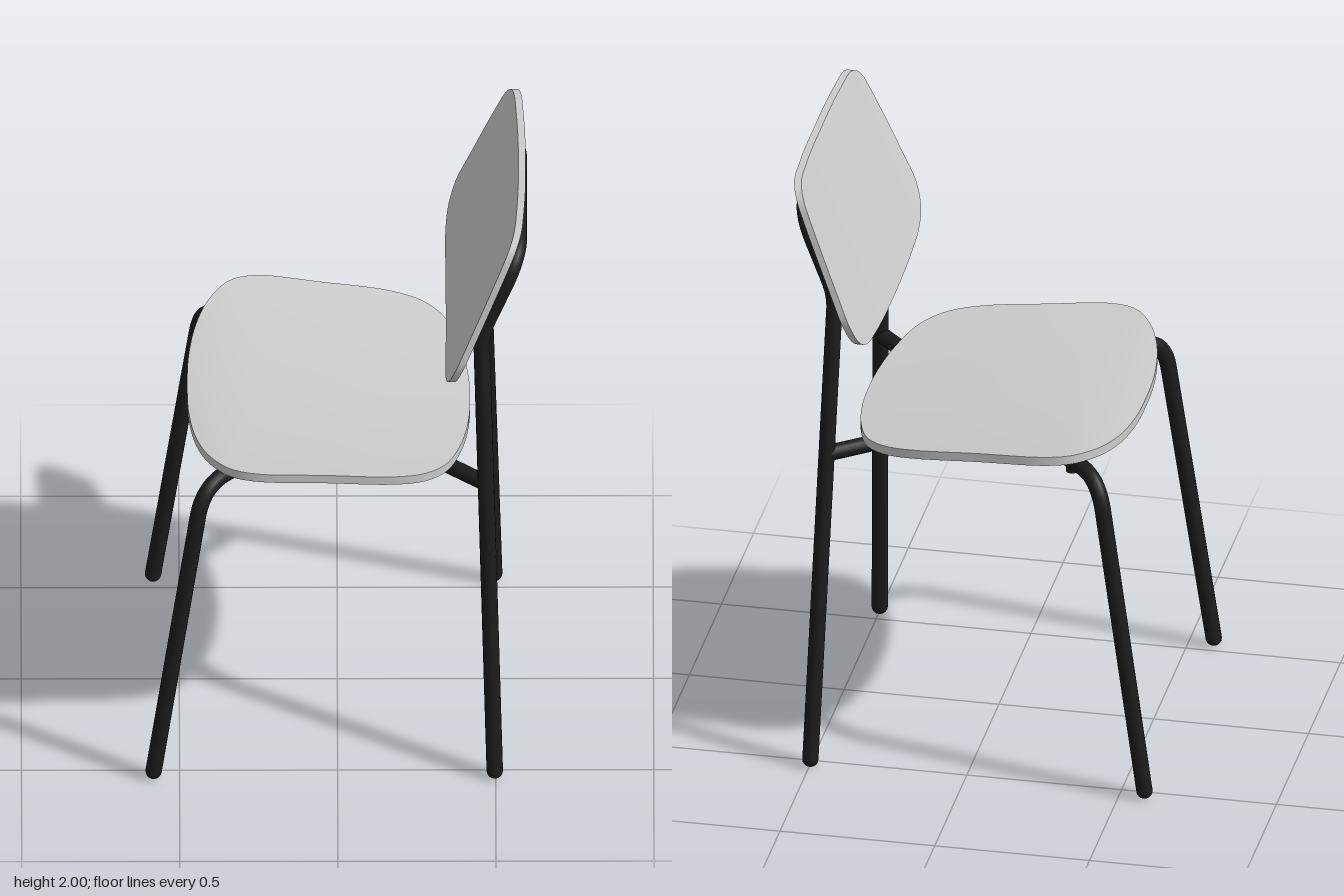
import * as THREE from 'three';
import { toCreasedNormals } from 'three/addons/utils/BufferGeometryUtils.js';

const R = 0.026; // tube radius
const shellMat = new THREE.MeshStandardMaterial({ color: 0xcccccc });
const frameMat = new THREE.MeshStandardMaterial({ color: 0x1c1c1c });
const V = (x, y, z) => new THREE.Vector3(x, y, z);

function addMesh(parent, name, geometry, material) {
  const mesh = new THREE.Mesh(geometry, material);
  mesh.name = name;
  parent.add(mesh);
  return mesh;
}

// Straight runs joined by bends; bends[i] is the setback at inner corner i
function bentTube(points, bends, segments) {
  const path = new THREE.CurvePath();
  let from = points[0];
  for (let i = 1; i < points.length - 1; i++) {
    const p = points[i], d = bends[i - 1];
    const a = p.clone().add(points[i - 1].clone().sub(p).setLength(d));
    const b = p.clone().add(points[i + 1].clone().sub(p).setLength(d));
    path.add(new THREE.LineCurve3(from, a));
    path.add(new THREE.QuadraticBezierCurve3(a, p, b));
    from = b;
  }
  path.add(new THREE.LineCurve3(from, points[points.length - 1]));
  return new THREE.TubeGeometry(path, segments, R, 16, false);
}

// Closed outline from a half profile, mirrored by flip()
function outline(half, flip) {
  const full = half.concat(half.slice(1, -1).reverse().map(flip));
  const curve = new THREE.CatmullRomCurve3(full.map(([u, v]) => V(u, v, 0)), true);
  return curve.getSpacedPoints(120).slice(0, -1);
}

// Curved panel: rings shrinking to (cu, cv) on both faces; surface(u, v, t) bends it, t = 0..1 in thickness
function panel(edge, cu, cv, surface) {
  const scales = [0, 0.2, 0.4, 0.6, 0.8, 0.92, 1];
  const rings = [...scales.map(s => [s, 0]), ...scales.slice().reverse().map(s => [s, 1])];
  const n = edge.length, pos = [], index = [];
  rings.forEach(([s, t], i) => {
    edge.forEach((p, j) => {
      pos.push(...surface(cu + (p.x - cu) * s, cv + (p.y - cv) * s, t));
      if (i === rings.length - 1) return;
      const k = (j + 1) % n;
      const a = i * n + j, b = i * n + k, c = a + n, d = b + n;
      if (rings[i + 1][0] > 0) index.push(a, c, d);
      if (s > 0) index.push(a, d, b);
    });
  });
  const geo = new THREE.BufferGeometry();
  geo.setAttribute('position', new THREE.Float32BufferAttribute(pos, 3));
  geo.setIndex(index);
  return toCreasedNormals(geo, 0.7);
}

function createSeat() {
  const half = [[-0.475, 0], [-0.47, 0.16], [-0.445, 0.32], [-0.4, 0.44], [-0.335, 0.52], [-0.25, 0.545],
    [-0.05, 0.53], [0.17, 0.51], [0.27, 0.475], [0.34, 0.405], [0.39, 0.27], [0.415, 0.12], [0.42, 0]];
  // Side profile along the middle of the seat
  const profile = new THREE.SplineCurve([[-0.48, 1.138], [-0.4, 1.143], [-0.3, 1.141], [0, 1.121], [0.25, 1.1],
    [0.43, 1.085]].map(p => new THREE.Vector2(...p)));
  const samples = profile.getPoints(100);
  const height = x => {
    const i = Math.max(1, samples.findIndex(p => p.x >= x));
    const a = samples[i - 1], b = samples[i];
    return a.y + (b.y - a.y) * (x - a.x) / (b.x - a.x);
  };
  return panel(outline(half, ([x, z]) => [x, -z]), -0.03, 0,
    (x, z, t) => [x, height(x) + 0.137 * z * z - 0.03 * t, z]);
}

function createBackrest() {
  const half = [[0, 1.405], [0.25, 1.42], [0.42, 1.455], [0.49, 1.5], [0.52, 1.57], [0.512, 1.64],
    [0.472, 1.89], [0.45, 1.96], [0.4, 1.995], [0.25, 1.998], [0, 1.994]];
  return panel(outline(half, ([z, y]) => [-z, y]), 0, 1.7,
    (z, y, t) => [0.345 + 0.39 * (y - 1.41) - 0.11 * z * z + 0.023 * t, y, z]);
}

export function createModel() {
  const chair = new THREE.Group();
  chair.name = 'chair';
  addMesh(chair, 'seat', createSeat(), shellMat);
  addMesh(chair, 'backrest', createBackrest(), shellMat);

  // Rear legs and back hoop in one continuous tube
  const side = [V(0.497, R, 0.54), V(0.455, 1.59, 0.358), V(0.574, 1.865, 0.326)];
  const mirrored = side.map(p => V(p.x, p.y, -p.z)).reverse();
  addMesh(chair, 'rearFrame', bentTube([...side, ...mirrored], [0.05, 0.11, 0.11, 0.05], 260), frameMat);

  for (const s of [1, -1]) {
    // Front leg bending under the seat to the middle, then out to the rear leg
    const points = [V(-0.582, R, 0.54 * s), V(-0.425, 1.107, 0.507 * s),
      V(0, 1.026, -0.012 * s), V(0.468, 1.055, 0.42 * s)];
    addMesh(chair, 'frontLegAndSupport', bentTube(points, [0.12, 0.12], 160), frameMat);

    // Rounded feet
    for (const x of [-0.582, 0.497]) {
      addMesh(chair, 'foot', new THREE.SphereGeometry(R, 16, 10), frameMat).position.set(x, R, 0.54 * s);
    }
    // Fixings between support tube and seat
    for (const [x, y, z] of [[-0.312, 1.09, 0.366], [0.27, 1.046, 0.237]]) {
      addMesh(chair, 'seatFixing', new THREE.CylinderGeometry(0.019, 0.019, 0.086, 14), frameMat)
        .position.set(x, y, z * s);
    }
  }
  return chair;
}
